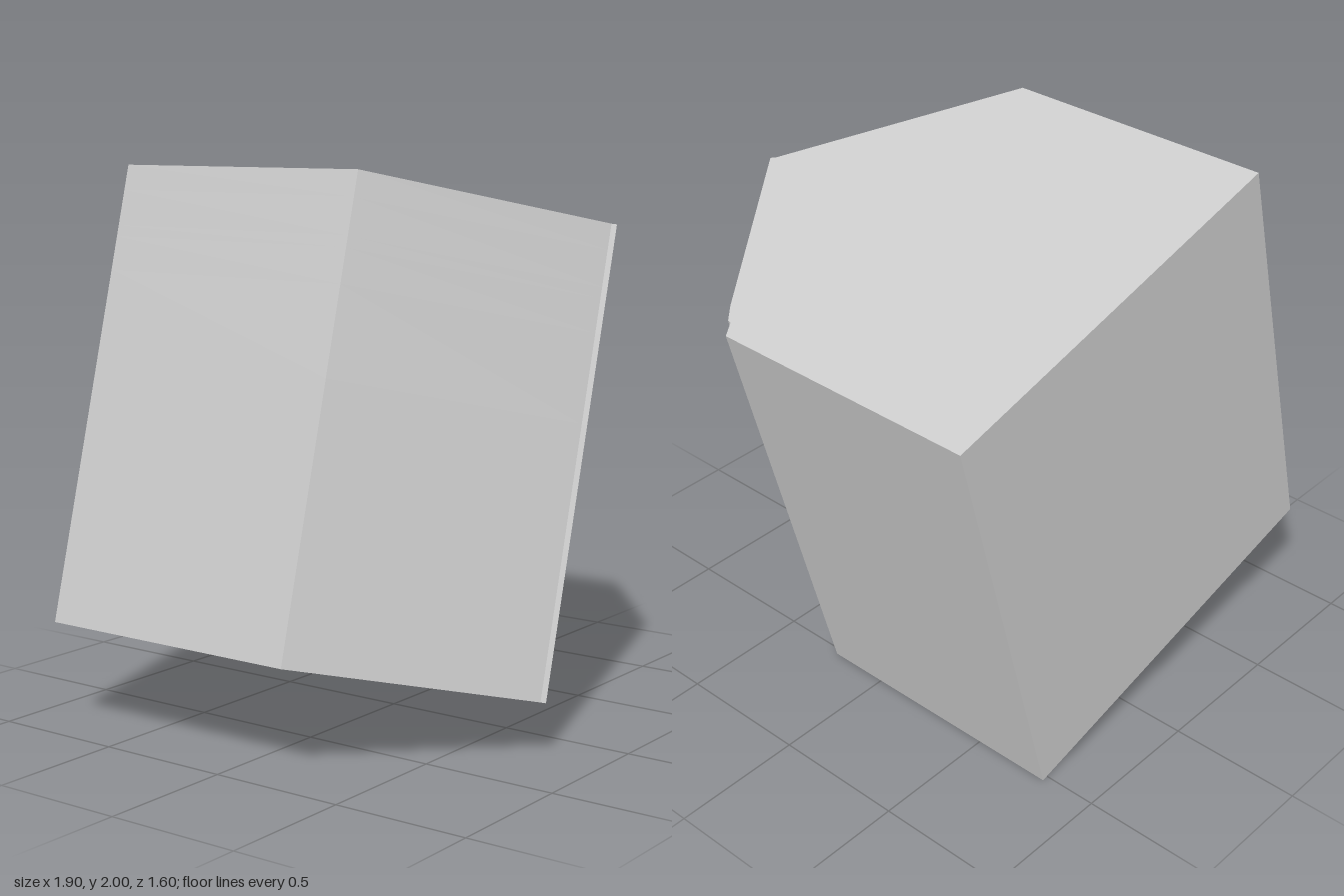
import * as THREE from 'three';

// Height along the prism, panel edge, step edge (sideways from the ridge)
const SECTIONS = [
  [-0.83, 0.671, 0.682],
  [-0.755, 0.671, 0.682],
  [-0.70, 0.675, 0.712],
  [-0.30, 0.684, 0.716],
  [0.13, 0.69, 0.72],
  [0.446, 0.668, 0.722],
  [0.568, 0.62, 0.723],
  [0.608, 0.656, 0.724],
  [0.738, 0.652, 0.724],
  [0.83, 0.648, 0.704],
];

// Height of the sloping front-left-hand plane at sideways distance u
const slope = (u) => 0.785 - 0.721 * u;

// Five-sided outline with a slightly raised panel on the model's left front face
function profile([, panel, step]) {
  return [
    [-0.763, -0.8], [0.763, -0.8], [0.763, 0.235],
    [step + 0.004, slope(step) - 0.008],
    [step, slope(step) + 0.008],
    [panel, slope(panel) + 0.015],
    [0, 0.796],
    [-0.01, 0.78],
    [-0.763, 0.237],
  ];
}

// Loft the outlines along y and close both ends
function loft(sections) {
  const rings = sections.map(profile);
  const n = rings[0].length;
  const positions = [];
  const index = [];
  rings.forEach((ring, k) => ring.forEach(([x, z]) => positions.push(x, sections[k][0], z)));
  for (let k = 0; k < rings.length - 1; k++) {
    for (let i = 0; i < n; i++) {
      const j = (i + 1) % n;
      const a = k * n + i, b = k * n + j, c = b + n, d = a + n;
      index.push(a, c, b, a, d, c);
    }
  }
  const cap = (ring, start, flip) => {
    const outline = ring.map(([x, z]) => new THREE.Vector2(x, z));
    for (const [a, b, c] of THREE.ShapeUtils.triangulateShape(outline, [])) {
      index.push(start + a, start + (flip ? c : b), start + (flip ? b : c));
    }
  };
  cap(rings[0], 0, false);
  cap(rings[rings.length - 1], (rings.length - 1) * n, true);

  const indexed = new THREE.BufferGeometry();
  indexed.setAttribute('position', new THREE.Float32BufferAttribute(positions, 3));
  indexed.setIndex(index);
  const geometry = indexed.toNonIndexed();
  geometry.computeVertexNormals();
  return geometry;
}

export function createModel() {
  const model = new THREE.Group();
  model.name = 'tiltedPrism';

  const material = new THREE.MeshStandardMaterial({ color: 0xcccccc, flatShading: true });
  const block = new THREE.Mesh(loft(SECTIONS), material);
  block.name = 'prismBlock';

  // The whole block leans toward its left
  block.rotation.z = THREE.MathUtils.degToRad(-14.85);
  block.position.y = 1;
  model.add(block);
  return model;
}
